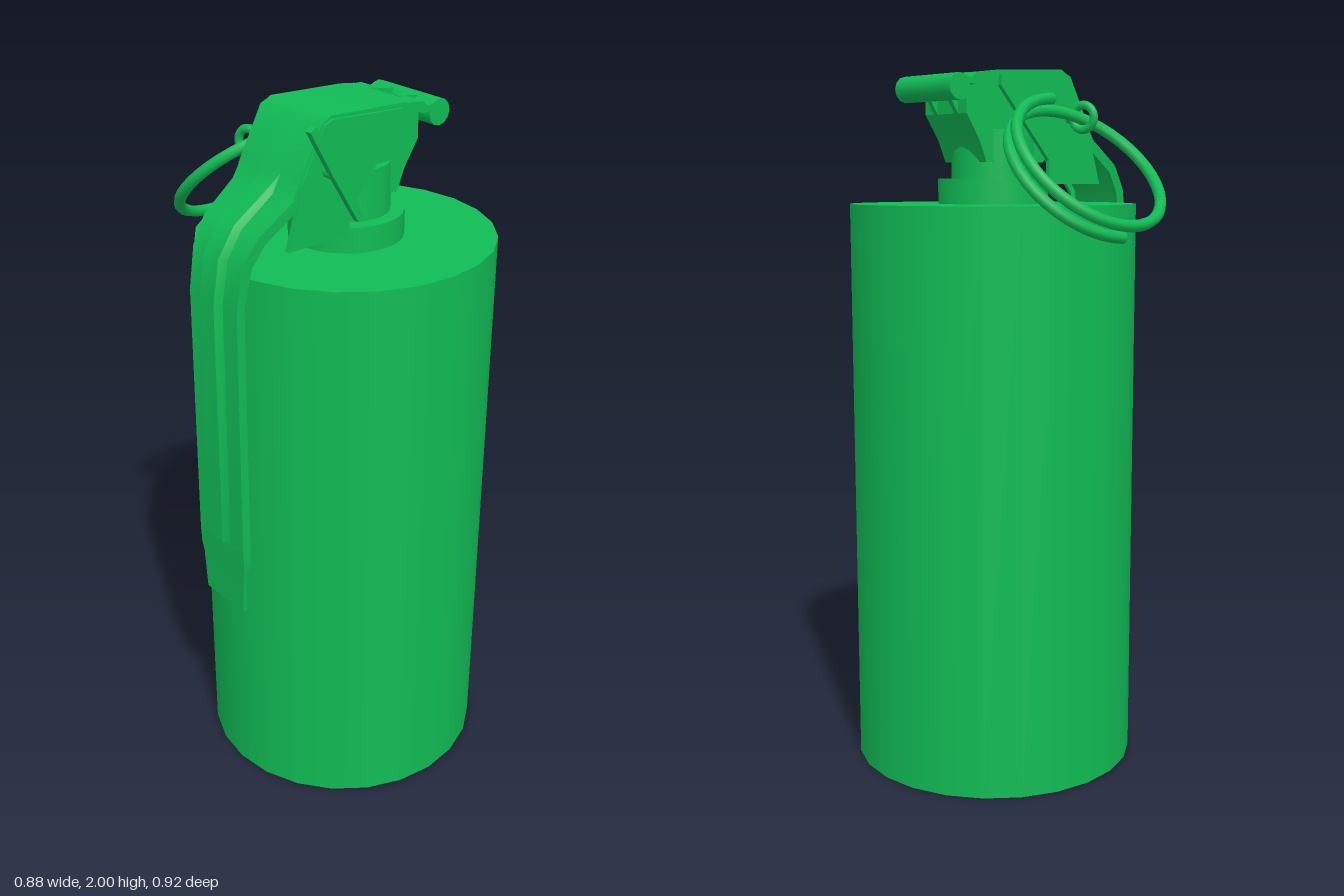
import * as THREE from 'three';
import { toCreasedNormals } from 'three/addons/utils/BufferGeometryUtils.js';

const CX = 0.03, CZ = 0.05; // axis of the canister

export function createModel() {
  const group = new THREE.Group();
  const material = new THREE.MeshStandardMaterial({ color: 0x11bb55, side: THREE.DoubleSide });

  const add = (name, geometry, x = 0, y = 0, z = 0) => {
    const mesh = new THREE.Mesh(geometry, material);
    mesh.name = name;
    mesh.position.set(x, y, z);
    group.add(mesh);
    return mesh;
  };
  // Side profile in x/y, extruded across z
  const slab = (name, points, z0, z1) => {
    const shape = new THREE.Shape(points.map(p => new THREE.Vector2(...p)));
    return add(name, new THREE.ExtrudeGeometry(shape, { depth: z1 - z0, bevelEnabled: false }), 0, 0, z0);
  };
  const tube = (name, points, radius, segments = 12) => {
    const curve = new THREE.CatmullRomCurve3(points.map(p => new THREE.Vector3(...p)));
    return add(name, new THREE.TubeGeometry(curve, segments, radius, 8));
  };

  // Canister, collar and neck
  add('body', new THREE.CylinderGeometry(0.408, 0.408, 1.625, 24), CX, 0.8125, CZ);
  add('collar', new THREE.CylinderGeometry(0.157, 0.157, 0.07, 24), CX, 1.66, CZ);
  add('neck', new THREE.CylinderGeometry(0.118, 0.118, 0.14, 24), CX, 1.76, CZ);

  // Head block flaring from the neck towards the hinge
  slab('head', [[-0.08, 1.74], [0.13, 1.74], [0.155, 1.8], [0.2, 1.87], [0.2, 1.94],
    [0.16, 1.97], [-0.12, 1.985], [-0.17, 1.93], [-0.16, 1.84]], CZ - 0.09, CZ + 0.09);

  add('lever', leverGeometry());

  // Side cheeks of the lever
  for (const side of [-1, 1]) {
    const z = CZ + side * 0.122;
    slab('leverCheek', [[-0.27, 1.68], [-0.07, 1.68], [-0.07, 1.745], [0.11, 1.945], [0.11, 1.975],
      [-0.125, 1.99], [-0.15, 1.98], [-0.225, 1.84], [-0.245, 1.76]], z - 0.007, z + 0.007);
  }

  // Hinge: barrel, two curled plates and two hooks around the central notch
  const barrel = add('hingeBarrel', new THREE.CylinderGeometry(0.036, 0.036, 0.24, 12), 0.247, 1.938, CZ);
  barrel.rotation.x = Math.PI / 2;
  for (const side of [-1, 1]) {
    const z = CZ + side * 0.085;
    slab('hingePlate', [[0.14, 1.965], [0.19, 1.945], [0.25, 1.95], [0.25, 1.972], [0.205, 1.962],
      [0.185, 1.978], [0.14, 1.98]], z - 0.035, z + 0.035);
    const hz = CZ + side * 0.045;
    slab('hingeHook', [[0.15, 1.86], [0.2, 1.87], [0.225, 1.91], [0.23, 1.972], [0.16, 1.982]], hz - 0.008, hz + 0.008);
  }

  // Split pin: shaft, two bent legs and the eye that holds the ring
  const px = -0.145, py = 1.865;
  tube('pinShaft', [[px, py, -0.1], [px, py, 0.05], [px, py, 0.205]], 0.016);
  for (const [dx, dy] of [[-0.073, 0.126], [0.083, -0.135]]) {
    const leg = add('pinLeg', new THREE.BoxGeometry(0.022, Math.hypot(dx, dy), 0.02), px + dx / 2, py + dy / 2, 0.206);
    leg.rotation.z = Math.atan2(-dx, dy);
  }
  const eye = add('pinEye', new THREE.TorusGeometry(0.034, 0.0125, 8, 20), px, py, -0.137);
  eye.rotation.y = Math.PI / 2 + 0.3;

  // Pull ring: a coil of one and a half turns, tilted by 45 degrees
  const coil = [];
  for (let i = 0; i <= 36; i++) {
    const t = i / 36, a = t * 3 * Math.PI;
    const along = Math.cos(a) * 0.23 * Math.SQRT1_2; // far end first
    const lift = (t - 0.5) * 0.066 * Math.SQRT1_2;
    coil.push([-0.027 + Math.sin(a) * 0.23, 1.727 - along + lift, -0.275 - along - lift]);
  }
  tube('pullRing', coil, 0.0165, 60);
  for (const end of [coil[0], coil[36]]) {
    const cap = add('pullRingEnd', new THREE.CircleGeometry(0.0165, 8), ...end);
    cap.rotation.y = Math.PI / 2;
  }
  return group;
}

// Pressed lever: a channel section with a raised rib, swept from the hinge to the tip
function leverGeometry() {
  // x, y, half width, flange depth, rib height
  const stations = [
    [0.16, 1.98, 0.12, 0.02, 0], [0.11, 1.987, 0.12, 0.025, 0], [-0.125, 1.998, 0.12, 0.03, 0],
    [-0.155, 1.98, 0.12, 0.03, 0], [-0.222, 1.855, 0.12, 0.03, 0], [-0.25, 1.805, 0.123, 0.03, 0.014],
    [-0.35, 1.735, 0.113, 0.03, 0.018], [-0.395, 1.665, 0.104, 0.03, 0.02], [-0.415, 1.55, 0.1, 0.025, 0.02],
    [-0.42, 0.84, 0.1, 0.025, 0.018], [-0.42, 0.82, 0.1, 0.025, 0], [-0.418, 0.77, 0.1, 0.022, 0],
    [-0.417, 0.74, 0.092, 0.013, 0], [-0.415, 0.62, 0.085, 0.013, 0],
  ];
  const t = 0.012, positions = [], index = [], n = 12;
  stations.forEach(([x, y, w, f, r], i) => {
    const a = stations[Math.max(i - 1, 0)], b = stations[Math.min(i + 1, stations.length - 1)];
    const len = Math.hypot(b[0] - a[0], b[1] - a[1]);
    const nx = (b[1] - a[1]) / len, ny = -(b[0] - a[0]) / len; // outward normal
    const section = [[-w, -f], [-w, 0], [-0.042, 0], [-0.03, r], [0.03, r], [0.042, 0], [w, 0], [w, -f],
      [w - t, -f], [w - t, -t], [t - w, -t], [t - w, -f]];
    for (const [u, d] of section) positions.push(x + nx * d, y + ny * d, CZ + u);
    if (i === 0) return;
    for (let j = 0; j < n; j++) {
      const p = (i - 1) * n + j, q = (i - 1) * n + (j + 1) % n;
      index.push(p, q, p + n, q, q + n, p + n);
    }
  });
  // End caps
  const cap = [[0, 1, 10], [0, 10, 11], [1, 6, 9], [1, 9, 10], [6, 7, 8], [6, 8, 9]];
  const last = (stations.length - 1) * n;
  for (const [a, b, c] of cap) index.push(a, c, b, last + a, last + b, last + c);
  const geometry = new THREE.BufferGeometry();
  geometry.setAttribute('position', new THREE.Float32BufferAttribute(positions, 3));
  geometry.setIndex(index);
  return toCreasedNormals(geometry, 0.6);
}
